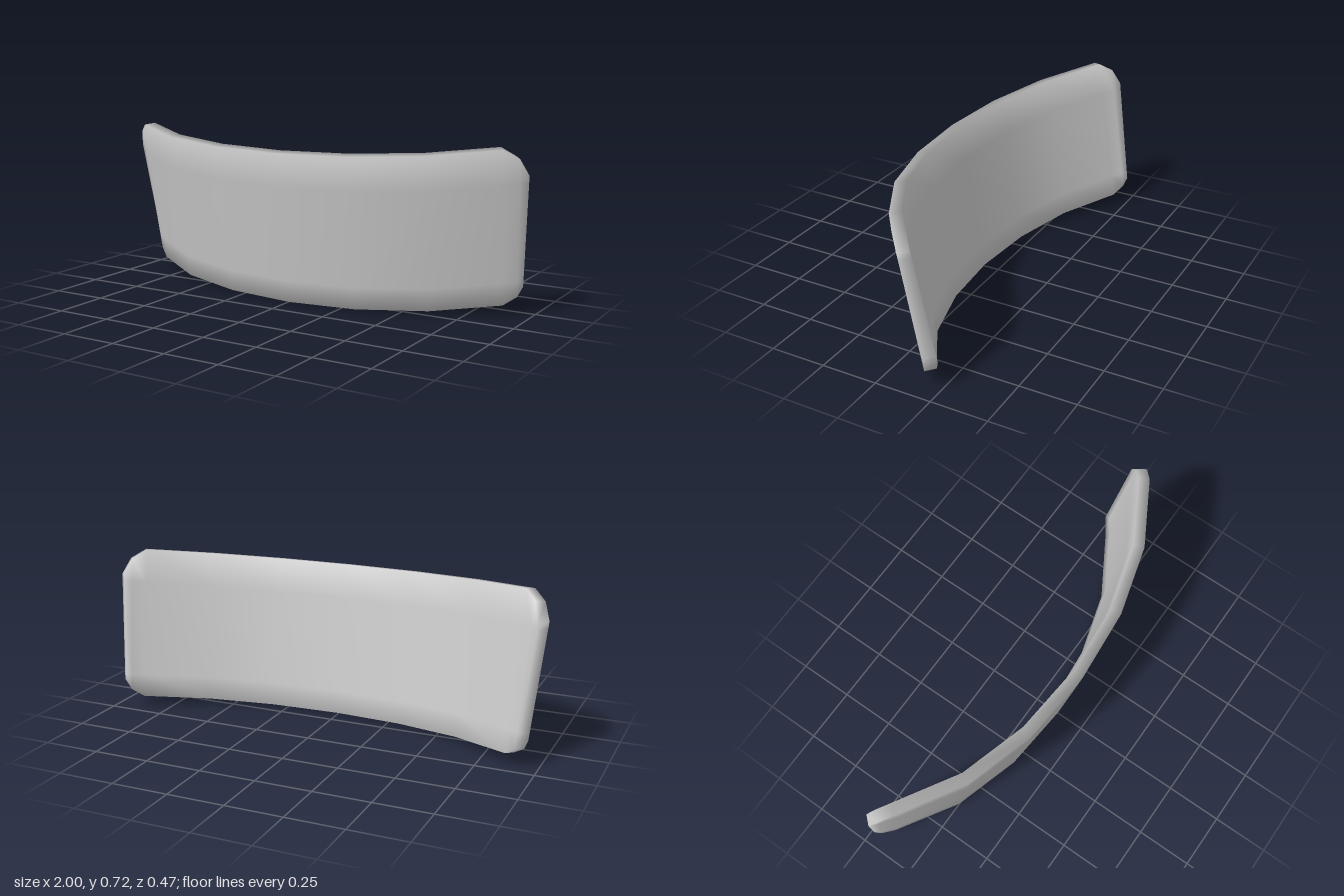
import * as THREE from 'three';

// Half-profile columns from the centre outwards, in the panel's own untilted frame:
// x, depth w, sideways flare per unit of height, normal angle (deg), bottom and top height
const COLUMNS = [
  { x: 0.0, w: 0.0, flare: 0.0, angle: 0, bottom: 0.0, top: 0.68 },
  { x: 0.322, w: -0.028, flare: 0.015, angle: 10, bottom: 0.0, top: 0.68 },
  { x: 0.63, w: -0.117, flare: 0.022, angle: 22, bottom: 0.0, top: 0.68 },
  { x: 0.902, w: -0.277, flare: 0.037, angle: 33, bottom: 0.0, top: 0.68 },
  { x: 0.955, w: -0.316, flare: 0.05, angle: 39, bottom: 0.03, top: 0.635 },
  { x: 0.98, w: -0.34, flare: 0.082, angle: 42, bottom: 0.07, top: 0.56 },
];
const THICKNESS = 0.05;
const TILT = THREE.MathUtils.degToRad(9.5);
const ROWS = 4;

function createPanelGeometry() {
  const last = COLUMNS.length - 1;
  const count = 2 * last + 1;
  const layer = count * ROWS;
  const positions = [];
  const indices = [];
  const id = (back, c, r) => back * layer + c * ROWS + r;
  const quad = (a, b, c, d) => indices.push(a, b, c, a, c, d);

  // Front and back grids; the back is the front moved inwards along the normal
  for (let back = 0; back < 2; back++) {
    for (let i = -last; i <= last; i++) {
      const col = COLUMNS[Math.abs(i)];
      const side = Math.sign(i);
      const angle = THREE.MathUtils.degToRad(col.angle);
      for (const v of [col.bottom, 0.1, 0.53, col.top]) {
        const x = col.x + col.flare * (v - 0.34) - back * THICKNESS * Math.sin(angle);
        const w = col.w - back * THICKNESS * Math.cos(angle);
        positions.push(side * x, v, w);
      }
    }
  }

  // Faces of the two grids
  for (let c = 0; c < count - 1; c++) {
    for (let r = 0; r < ROWS - 1; r++) {
      quad(id(0, c, r), id(0, c + 1, r), id(0, c + 1, r + 1), id(0, c, r + 1));
      quad(id(1, c, r), id(1, c, r + 1), id(1, c + 1, r + 1), id(1, c + 1, r));
    }
  }

  // Rim around the outline, counter-clockwise seen from the front
  const loop = [];
  for (let c = 0; c < count - 1; c++) loop.push([c, 0]);
  for (let r = 0; r < ROWS - 1; r++) loop.push([count - 1, r]);
  for (let c = count - 1; c > 0; c--) loop.push([c, ROWS - 1]);
  for (let r = ROWS - 1; r > 0; r--) loop.push([0, r]);
  loop.forEach((p, i) => {
    const q = loop[(i + 1) % loop.length];
    quad(id(0, ...p), id(1, ...p), id(1, ...q), id(0, ...q));
  });

  const geometry = new THREE.BufferGeometry();
  geometry.setAttribute('position', new THREE.Float32BufferAttribute(positions, 3));
  geometry.setIndex(indices);
  // Lean the top forward and set the panel on the ground
  geometry.rotateX(TILT);
  geometry.translate(0, 0, 0.118);
  geometry.computeVertexNormals();
  return geometry;
}

export function createModel() {
  const group = new THREE.Group();
  group.name = 'curvedBackrest';
  const panel = new THREE.Mesh(
    createPanelGeometry(),
    new THREE.MeshStandardMaterial({ color: 0xcccccc })
  );
  panel.name = 'curvedPanel';
  group.add(panel);
  return group;
}
